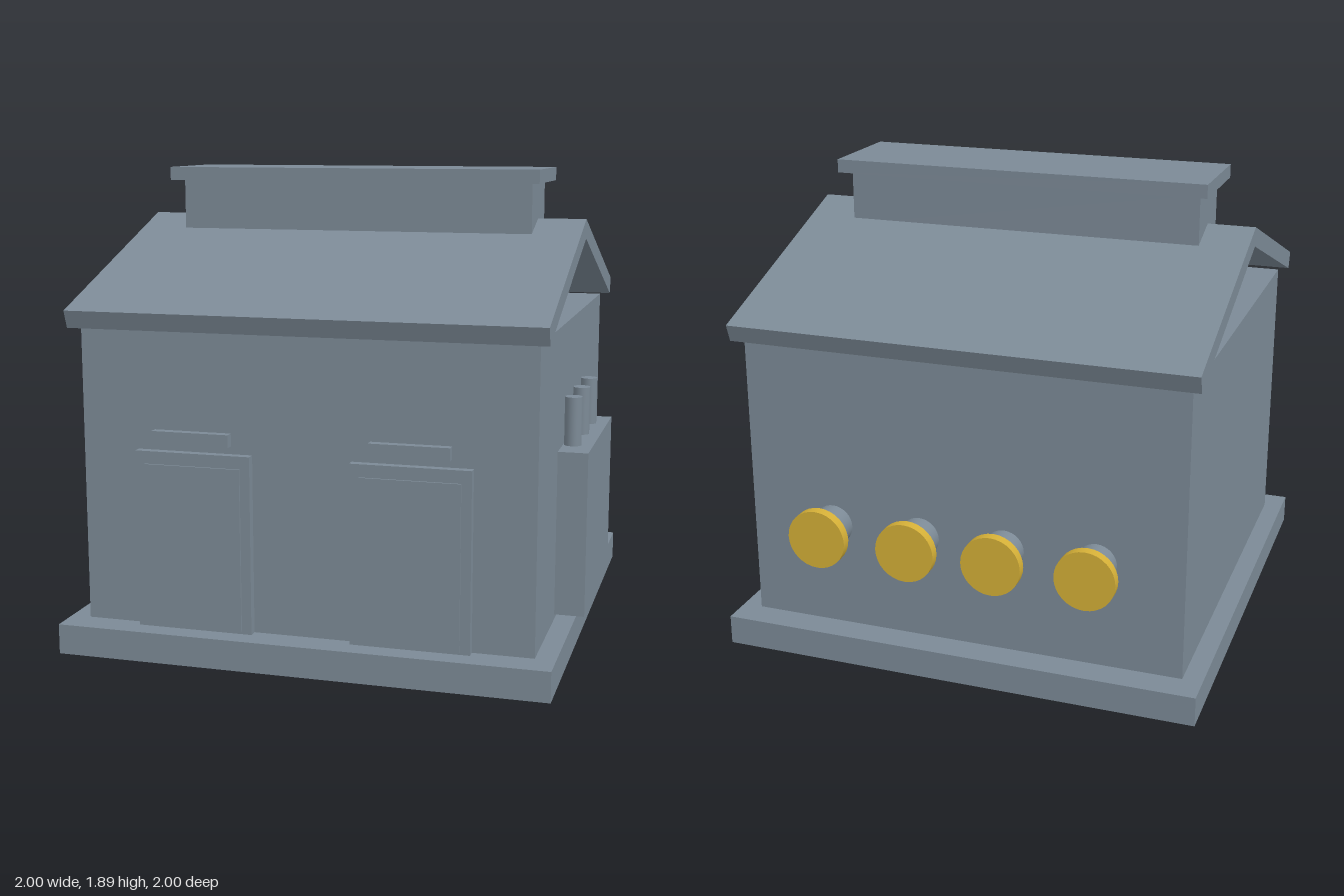
import * as THREE from 'three';

const steel = new THREE.MeshStandardMaterial({ color: 0x7c8a96 });
steel.name = 'slateGrey';
const brass = new THREE.MeshStandardMaterial({ color: 0xd4af37 });
brass.name = 'brass';

export function createModel() {
  const model = new THREE.Group();
  model.name = 'substation';

  const add = (name, geometry, material = steel) => {
    const mesh = new THREE.Mesh(geometry, material);
    mesh.name = name;
    model.add(mesh);
    return mesh;
  };
  // Box given by its extents along each axis
  const box = (name, [x0, x1], [y0, y1], [z0, z1]) =>
    add(name, new THREE.BoxGeometry(x1 - x0, y1 - y0, z1 - z0))
      .position.set((x0 + x1) / 2, (y0 + y1) / 2, (z0 + z1) / 2);

  // Plinth and walls
  box('plinth', [-1, 0.96], [0, 0.12], [-0.96, 1]);
  box('walls', [-0.92, 0.88], [0.12, 1.295], [-0.84, 0.88]);

  // Gable roof: chevron profile extruded along x, open beneath
  const ridgeZ = 0.02;
  const profile = [[0, 1.692], [0.925, 1.365], [0.9, 1.295], [0, 1.613], [-0.9, 1.295], [-0.925, 1.365]];
  const chevron = new THREE.Shape(profile.map(([z, y]) => new THREE.Vector2(-z - ridgeZ, y)));
  const roof = new THREE.ExtrudeGeometry(chevron, { depth: 1.88, bevelEnabled: false });
  roof.rotateY(Math.PI / 2);
  add('roof', roof).position.x = -0.96;

  // Ridge ventilator
  box('ventilator', [-0.765, 0.722], [1.614, 1.84], [-0.135, 0.175]);
  box('ventilatorCap', [-0.805, 0.76], [1.84, 1.895], [-0.195, 0.235]);

  // Two front doors, each with a raised panel and a lintel bar
  for (const x of [-0.455, 0.408]) {
    box('doorFrame', [x - 0.234, x + 0.234], [0.12, 0.825], [0.88, 0.915]);
    box('doorPanel', [x - 0.195, x + 0.195], [0.13, 0.775], [0.9, 0.923]);
    box('doorLintel', [x - 0.156, x + 0.156], [0.86, 0.91], [0.9, 0.935]);
  }

  // Side cabinet with three upright insulators
  box('cabinet', [0.88, 1], [0.14, 0.805], [-0.37, 0.41]);
  for (const z of [0.26, 0.023, -0.212]) {
    add('insulator', new THREE.CylinderGeometry(0.035, 0.035, 0.2, 24)).position.set(0.918, 0.902, z);
  }

  // Four flanged pipes through the back wall
  const pipe = new THREE.CylinderGeometry(0.081, 0.081, 0.14, 32).rotateX(Math.PI / 2);
  const flange = new THREE.CylinderGeometry(0.12, 0.12, 0.04, 32).rotateX(Math.PI / 2);
  for (const x of [-0.572, -0.2, 0.153, 0.526]) {
    add('pipe', pipe).position.set(x, 0.552, -0.9);
    add('pipeFlange', flange, brass).position.set(x, 0.552, -0.98);
  }

  return model;
}
